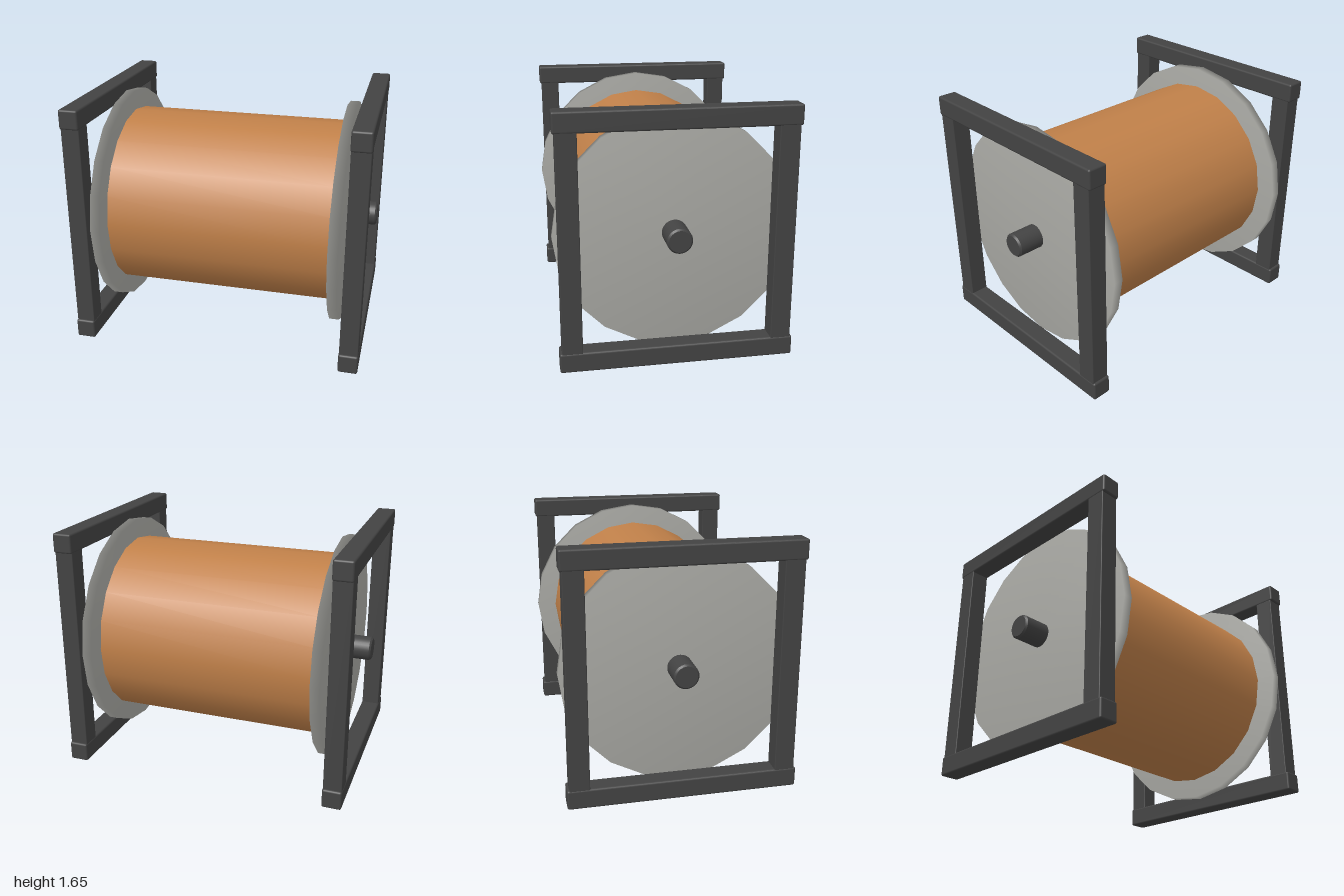
import * as THREE from 'three';
import { mergeVertices } from 'three/addons/utils/BufferGeometryUtils.js';
import { RoundedBoxGeometry } from 'three/addons/geometries/RoundedBoxGeometry.js';

const AXIS_Y = 0.835;

function material(name, color) {
  const m = new THREE.MeshStandardMaterial({ color });
  m.name = name;
  return m;
}

// Weld the rim to the caps so the shading rolls softly over the edges
function softened(geometry) {
  geometry.deleteAttribute('normal');
  geometry.deleteAttribute('uv');
  const welded = mergeVertices(geometry, 1e-4);
  welded.computeVertexNormals();
  return welded;
}

export function createModel() {
  const copper = material('copper', 0xc08049);
  const steel = material('pale grey', 0xa9a9a4);
  const dark = material('dark grey', 0x434343);

  const model = new THREE.Group();
  model.name = 'cableReel';

  function add(parent, name, geometry, mat, x, y, z) {
    const mesh = new THREE.Mesh(geometry, mat);
    mesh.name = name;
    mesh.position.set(x, y, z);
    parent.add(mesh);
    return mesh;
  }

  // Wound drum lying along x
  const drum = new THREE.CylinderGeometry(0.632, 0.632, 1.51, 20).rotateZ(Math.PI / 2);
  add(model, 'drum', drum, copper, 0, AXIS_Y, 0);

  // Axle with small chamfered ends
  const axleProfile = [[0, -1], [0.07, -1], [0.07, -1], [0.081, -0.988], [0.081, -0.988],
    [0.081, 0.988], [0.081, 0.988], [0.07, 1], [0.07, 1], [0, 1]]
    .map(([r, h]) => new THREE.Vector2(r, h));
  const axle = new THREE.LatheGeometry(axleProfile, 32).rotateZ(Math.PI / 2);
  add(model, 'axle', axle, dark, 0, AXIS_Y, 0);

  // Flange disc and square stand frame at each end
  const flange = softened(new THREE.CylinderGeometry(0.766, 0.766, 0.065, 20).rotateZ(Math.PI / 2));
  const bar = new RoundedBoxGeometry(0.13, 0.13, 1.5, 2, 0.013);
  const post = new RoundedBoxGeometry(0.124, 1.5, 0.13, 2, 0.006);

  for (const [side, s] of [['left', 1], ['right', -1]]) {
    add(model, side + 'Flange', flange, steel, s * 0.785, AXIS_Y, 0);

    const frame = new THREE.Group();
    frame.name = side + 'Frame';
    frame.position.x = s * 0.919;
    model.add(frame);
    add(frame, 'bottomBar', bar, dark, 0, 0.065, 0);
    add(frame, 'topBar', bar, dark, 0, 1.587, 0);
    add(frame, 'frontPost', post, dark, 0, 0.826, 0.67);
    add(frame, 'backPost', post, dark, 0, 0.826, -0.67);
  }

  return model;
}
